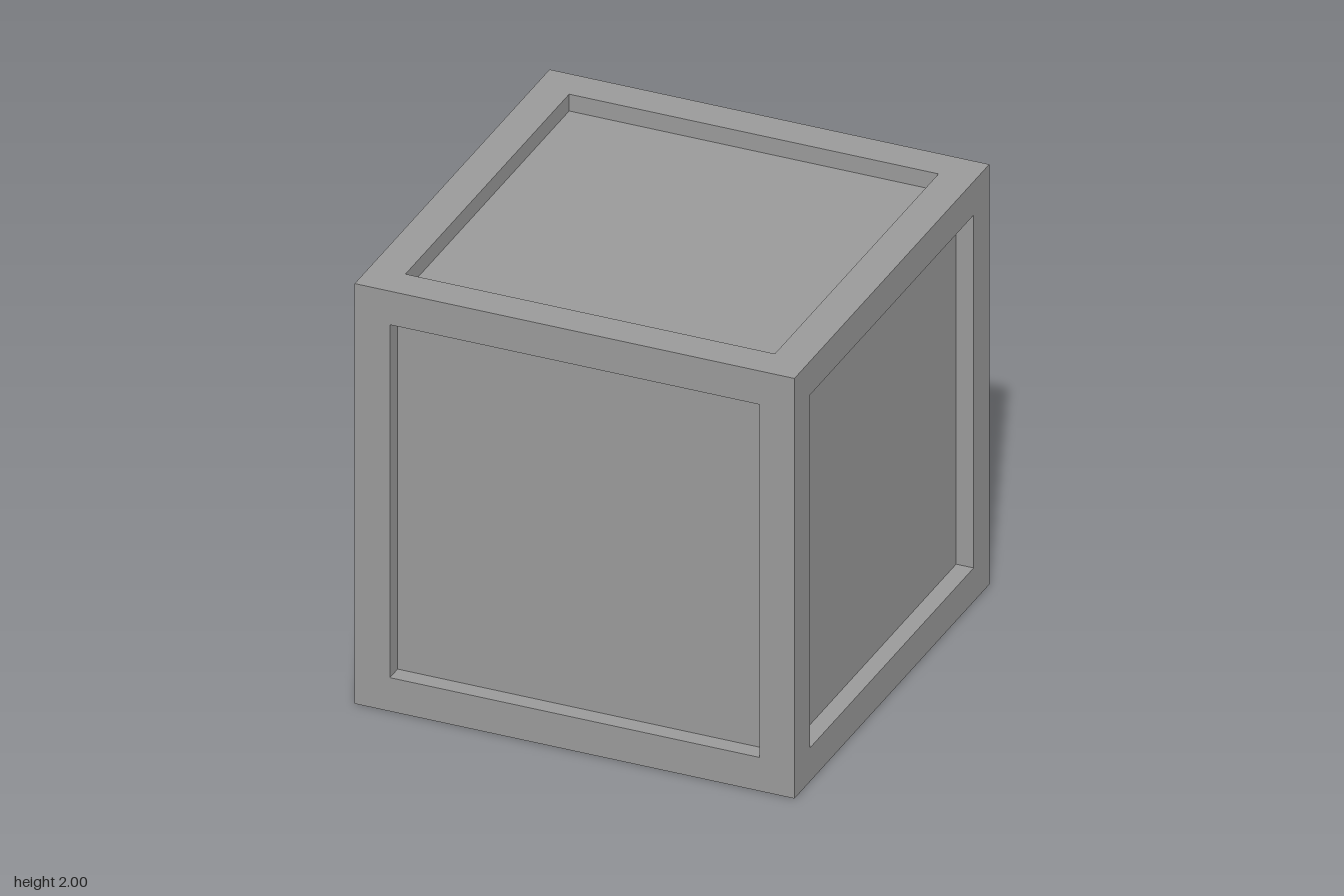
import * as THREE from 'three';
import { mergeGeometries } from 'three/addons/utils/BufferGeometryUtils.js';

const HALF = 1;        // half the cube's edge
const OPENING = 0.84;  // half the width of each recess
const DEPTH = 0.08;    // depth of each recess

const square = (Path, h) => new Path([[-h, -h], [h, -h], [h, h], [-h, h]].map(([x, y]) => new THREE.Vector2(x, y)));

export function createModel() {
  const material = new THREE.MeshStandardMaterial({ color: 0x9b9b9b, flatShading: true });

  // Square border flush with the outside of the cube
  const border = square(THREE.Shape, HALF);
  border.holes.push(square(THREE.Path, OPENING));
  const frameGeometry = new THREE.ShapeGeometry(border).translate(0, 0, HALF);

  // Four walls of the recess, facing inwards
  const walls = [0, 1, 2, 3].map((k) =>
    new THREE.PlaneGeometry(2 * OPENING, DEPTH)
      .rotateX(Math.PI / 2)
      .translate(0, OPENING, HALF - DEPTH / 2)
      .rotateZ(k * Math.PI / 2));
  const wallGeometry = mergeGeometries(walls);

  // Sunken panel at the bottom of the recess
  const panelGeometry = new THREE.PlaneGeometry(2 * OPENING, 2 * OPENING).translate(0, 0, HALF - DEPTH);

  const parts = { frame: frameGeometry, recessWalls: wallGeometry, panel: panelGeometry };

  // The same side repeated on all six faces: [name, x turn, y turn]
  const q = Math.PI / 2;
  const sides = [
    ['front', 0, 0], ['left', 0, q], ['back', 0, 2 * q], ['right', 0, -q],
    ['top', -q, 0], ['bottom', q, 0],
  ];

  const crate = new THREE.Group();
  crate.name = 'crate';
  for (const [name, rx, ry] of sides) {
    const side = new THREE.Group();
    side.name = `${name}Side`;
    for (const [part, geometry] of Object.entries(parts)) {
      const mesh = new THREE.Mesh(geometry, material);
      mesh.name = part;
      side.add(mesh);
    }
    side.rotation.set(rx, ry, 0);
    side.position.y = HALF;
    crate.add(side);
  }
  return crate;
}
